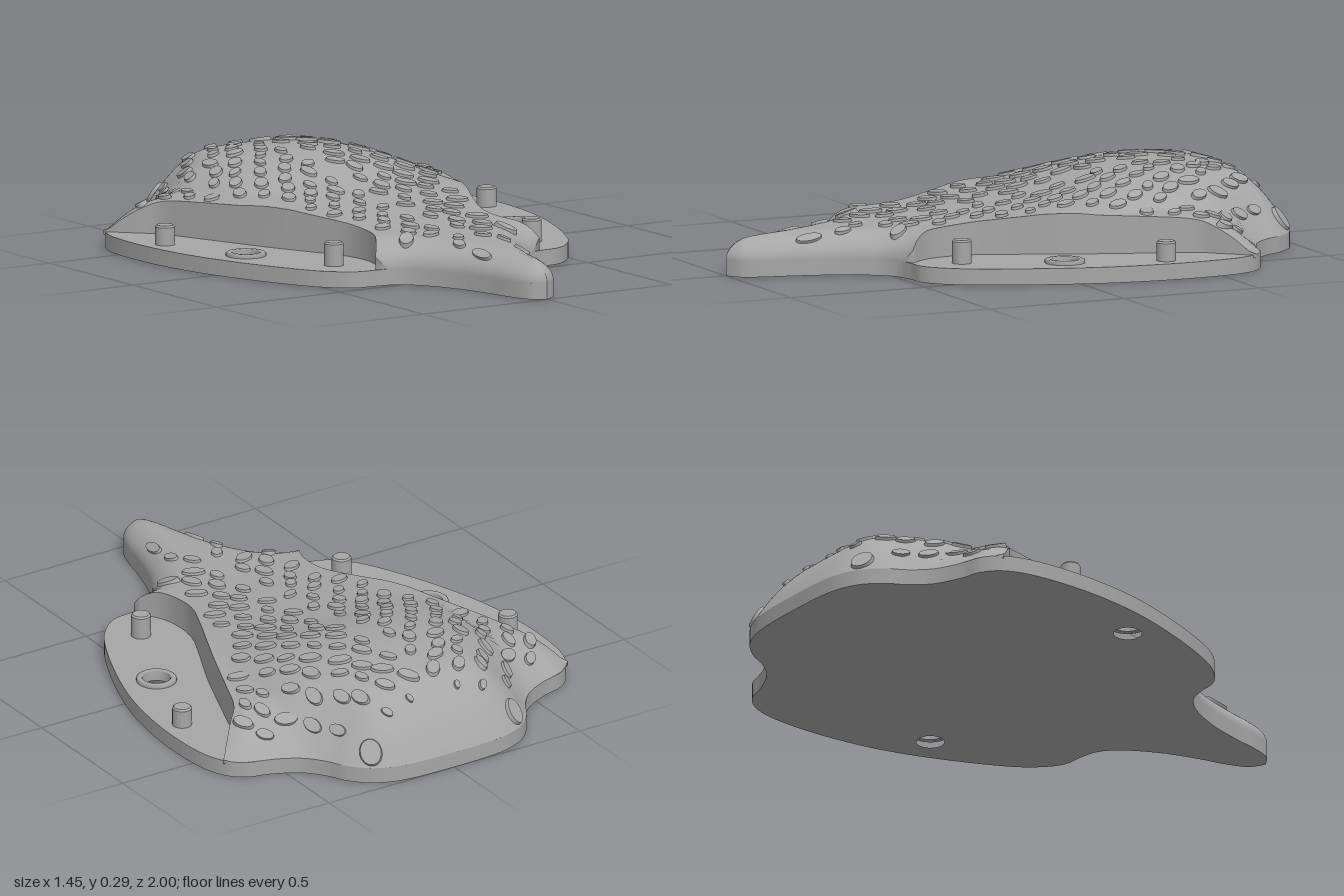
import * as THREE from 'three';
import { mergeGeometries } from 'three/addons/utils/BufferGeometryUtils.js';

const FLOOR = 0.055;
const v2 = (pts) => pts.map(([a, b]) => new THREE.Vector2(a, b));
const smooth = (pts, n) => new THREE.SplineCurve(v2(pts)).getPoints(n);

// Half outline of the base as (x, z), back to front tip
const outline = smooth([
  [0, -1], [0.12, -0.998], [0.22, -0.985], [0.3, -0.95], [0.36, -0.89], [0.4, -0.82], [0.46, -0.755],
  [0.55, -0.71], [0.63, -0.685], [0.69, -0.62], [0.72, -0.5], [0.722, -0.3], [0.69, -0.08], [0.62, 0.14],
  [0.53, 0.34], [0.46, 0.43], [0.4, 0.468], [0.33, 0.475], [0.26, 0.495], [0.2, 0.555], [0.14, 0.67],
  [0.1, 0.8], [0.08, 0.89], [0.05, 0.965], [0, 1]], 160);

// Pocket wall (x, z) and centre ridge (height, z)
const wall = smooth([
  [0.69, -0.64], [0.605, -0.55], [0.55, -0.49], [0.5, -0.36], [0.4, -0.1], [0.31, 0.1], [0.27, 0.2],
  [0.26, 0.28], [0.27, 0.36], [0.3, 0.42], [0.34, 0.475]], 80);
const ridge = smooth([
  [0.25, -1], [0.262, -0.85], [0.275, -0.75], [0.285, -0.62], [0.283, -0.5], [0.272, -0.4], [0.252, -0.3],
  [0.224, -0.2], [0.205, -0.1], [0.19, 0], [0.178, 0.1], [0.158, 0.3], [0.147, 0.5], [0.137, 0.8], [0.13, 1]], 100);

// First coordinate of a sampled curve at depth z
function at(curve, z) {
  for (let i = 1; i < curve.length; i++) {
    const a = curve[i - 1], b = curve[i];
    if (z <= b.y) return a.x + (b.x - a.x) * THREE.MathUtils.clamp((z - a.y) / (b.y - a.y || 1), 0, 1);
  }
  return curve[curve.length - 1].x;
}
const halfWidth = (z) => (z > -0.64 && z < 0.475 ? at(wall, z) : at(outline, z));

function edgeDistance(x, z) {
  let best = 9;
  for (let i = 1; i < outline.length; i++) {
    const a = outline[i - 1], b = outline[i];
    const dx = b.x - a.x, dz = b.y - a.y;
    const t = THREE.MathUtils.clamp(((x - a.x) * dx + (z - a.y) * dz) / (dx * dx + dz * dz || 1), 0, 1);
    best = Math.min(best, Math.hypot(x - a.x - t * dx, z - a.y - t * dz));
  }
  return best;
}

// Dome with lower shoulders, rounded off towards the outline
function height(x, z) {
  x = Math.abs(x);
  const c = at(ridge, z);
  const shoulder = Math.min(c, 0.19 - 0.12 * Math.max(0, x - 0.4));
  const top = shoulder + (c - shoulder) * Math.max(0, 1 - (x / 0.43) ** 3);
  const front = THREE.MathUtils.smoothstep(z, -0.2, 0.35);
  const t = Math.min(1, edgeDistance(x, z) / THREE.MathUtils.lerp(0.22, 0.11, front));
  const q = 1 - (1 - t) ** 2;
  return FLOOR + (top - FLOOR) * THREE.MathUtils.lerp(q, Math.sqrt(q), front);
}

function surface(pos, index) {
  const g = new THREE.BufferGeometry();
  g.setAttribute('position', new THREE.Float32BufferAttribute(pos, 3));
  g.setIndex(index);
  g.computeVertexNormals();
  return g;
}

const ROWS = 150, COLS = 64;
const rowZ = (i) => -Math.cos((Math.PI * i) / ROWS);

function bodyGeometry() {
  const pos = [], index = [];
  for (let i = 0; i <= ROWS; i++) {
    const z = rowZ(i), w = halfWidth(z);
    for (let j = 0; j <= COLS; j++) {
      const x = w * Math.sin((j / COLS - 0.5) * Math.PI);
      pos.push(x, height(x, z), z);
      if (i < ROWS && j < COLS) {
        const a = i * (COLS + 1) + j, b = a + COLS + 1;
        index.push(a, b, b + 1, a, b + 1, a + 1);
      }
    }
  }
  return surface(pos, index);
}

function wallGeometry(side) {
  const pos = [], index = [];
  for (let i = 0; i <= ROWS; i++) {
    const z = rowZ(i), w = halfWidth(z);
    pos.push(side * w, height(w, z), z, side * w, FLOOR - 0.01, z);
    if (i < ROWS) {
      const a = 2 * i;
      if (side > 0) index.push(a, a + 2, a + 1, a + 1, a + 2, a + 3);
      else index.push(a, a + 1, a + 2, a + 1, a + 3, a + 2);
    }
  }
  return surface(pos, index);
}

// Flat oval scale lying on the body, its long axis turned by angle
function scaleGeometry(x, z, long, short, angle) {
  const e = 0.012;
  const normal = new THREE.Vector3(
    height(x - e, z) - height(x + e, z), 2 * e, height(x, z - e) - height(x, z + e)).normalize();
  const g = new THREE.CylinderGeometry(0.88, 1, 0.018, 16);
  g.scale(long, 1, short).rotateY(angle);
  g.applyQuaternion(new THREE.Quaternion().setFromUnitVectors(new THREE.Vector3(0, 1, 0), normal));
  return g.translate(x, height(x, z), z);
}

function scalesGeometry() {
  let seed = 7;
  const rand = () => (seed = (seed * 16807) % 2147483647) / 2147483647;
  const parts = [];
  const addPair = (x, z, l, s, a) => {
    parts.push(scaleGeometry(x, z, l, s, a), scaleGeometry(-x, z, l, s, -a));
  };
  for (let r = 0; r < 25; r++) {
    for (let k = 0; k < 8; k++) {
      const z = -0.95 + r * 0.074 + (rand() - 0.5) * 0.025;
      const x = 0.05 + (k + (r % 2) * 0.5) * 0.096 + (rand() - 0.5) * 0.02;
      const size = (z < -0.8 ? 0.55 : 1) * (0.8 + 0.35 * rand());
      const angle = Math.PI / 2 + 0.5 + (rand() - 0.5) * 1.2;
      if (x > halfWidth(z) - 0.04 || edgeDistance(x, z) < 0.055) continue;
      if (Math.hypot(x - 0.285, z + 0.93) < 0.08 || Math.hypot(x - 0.08, z - 0.73) < 0.08) continue;
      addPair(x, z, 0.038 * size, 0.023 * size, angle);
    }
  }
  addPair(0.285, -0.925, 0.05, 0.04, 1.2);
  addPair(0.08, 0.73, 0.05, 0.02, 1.5);
  return mergeGeometries(parts);
}

function circle(x, y, r) {
  return new THREE.Path().absarc(x, y, r, 0, Math.PI * 2, true);
}

export function createModel() {
  const grey = new THREE.MeshStandardMaterial({ color: 0xa6a6a6 });
  grey.name = 'grey';
  const model = new THREE.Group();
  const add = (name, geometry) => {
    const m = new THREE.Mesh(geometry, grey);
    m.name = name;
    model.add(m);
    return m;
  };

  // Base plate with two screw holes
  const right = outline.map((p) => new THREE.Vector2(p.x, -p.y));
  const left = right.slice(1, -1).reverse().map((p) => new THREE.Vector2(-p.x, p.y));
  const plate = new THREE.Shape([...right, ...left]);
  for (const s of [1, -1]) plate.holes.push(circle(s * 0.542, 0, 0.047));
  add('basePlate', new THREE.ExtrudeGeometry(plate, { depth: FLOOR, bevelEnabled: false, curveSegments: 32 })
    .rotateX(-Math.PI / 2));

  // Raised body, pocket walls and scales
  add('body', bodyGeometry());
  add('scales', scalesGeometry());

  // Paired details
  for (const s of [1, -1]) {
    const side = s > 0 ? 'left' : 'right';
    add(side + 'PocketWall', wallGeometry(s));
    const rim = [[0.047, 0.03], [0.068, 0.03], [0.068, 0.064], [0.062, 0.068], [0.05, 0.068], [0.047, 0.064], [0.047, 0.03]];
    const ring = new THREE.LatheGeometry(v2(rim), 32);
    add(side + 'HoleRim', ring).position.x = s * 0.542;
    for (const [name, x, z, top] of [['FrontPeg', 0.4, 0.315, 0.135], ['BackPeg', 0.65, -0.325, 0.122]]) {
      const profile = [[0.033, 0.04], [0.033, top - 0.006], [0.033, top - 0.006], [0.028, top], [0.028, top], [0, top]];
      add(side + name, new THREE.LatheGeometry(v2(profile), 24)).position.set(s * x, 0, z);
    }
  }
  return model;
}
